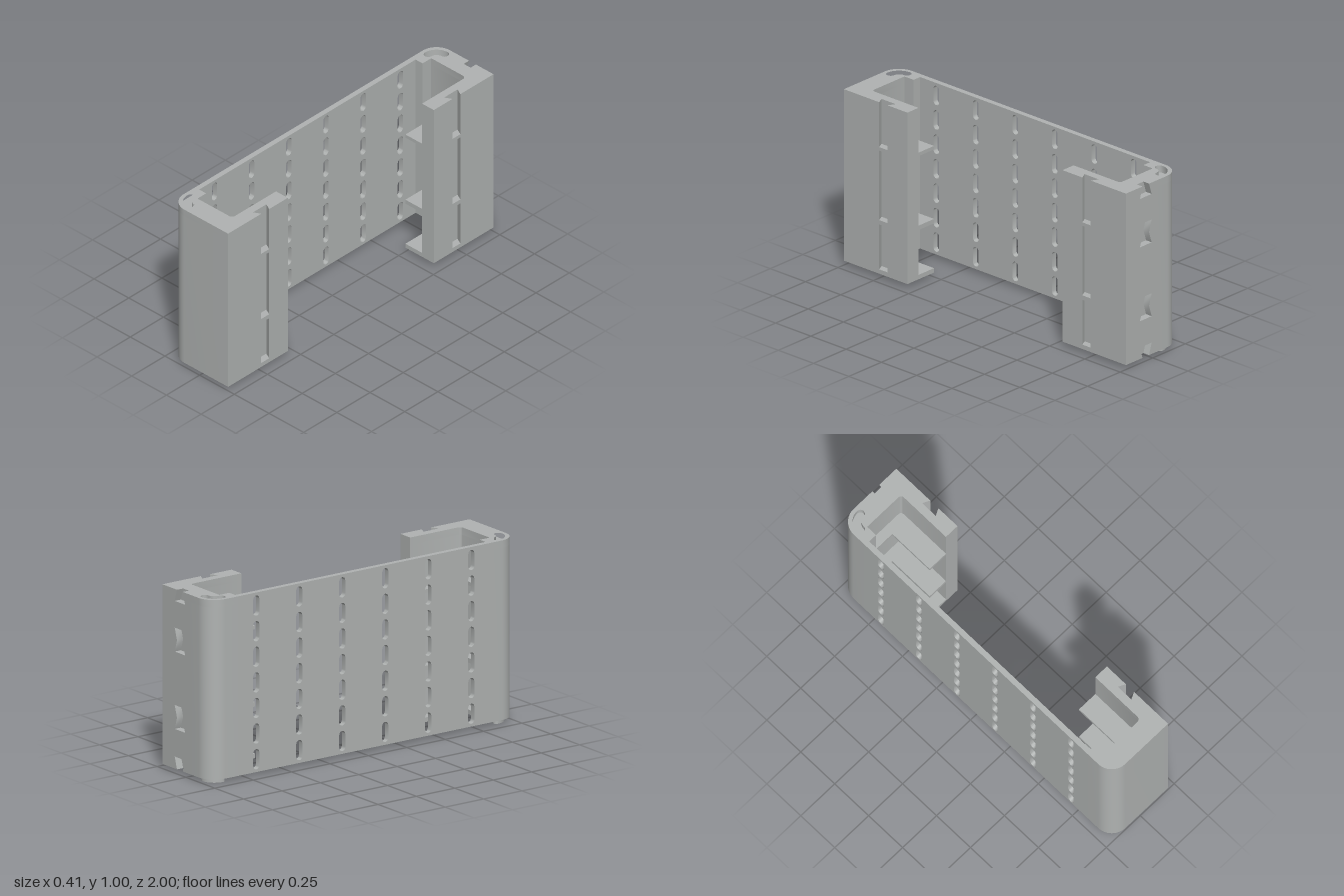
import * as THREE from 'three';
import { toCreasedNormals } from 'three/addons/utils/BufferGeometryUtils.js';

const BASE = 0.025, TOP = 1, RECESS = 0.04;
const BANDS = [[BASE, 0.05], [0.305, 0.33], [0.725, 0.745]]; // shelf heights
const grey = new THREE.MeshStandardMaterial({ color: 0xb0b3b2 });
grey.name = 'grey';

// points along an arc
function arc(cx, cy, r, a0, a1, n = 12) {
  return Array.from({ length: n + 1 }, (_, i) => {
    const a = a0 + (a1 - a0) * i / n;
    return [cx + r * Math.cos(a), cy + r * Math.sin(a)];
  });
}
const vectors = (pts, s = 1) => pts.map(([x, y]) => new THREE.Vector2(x, y * s));
const outline = (pts, s = 1) => new THREE.Shape(vectors(pts, s));

function extrude(shape, depth) {
  return new THREE.ExtrudeGeometry(shape, { depth, bevelEnabled: false, curveSegments: 8 });
}
function add(parent, name, geometry) {
  const mesh = new THREE.Mesh(toCreasedNormals(geometry, 0.6), grey);
  mesh.name = name;
  parent.add(mesh);
}
// plan outline raised from y0 to y1 (outline y becomes -z)
const raise = (shape, y0, y1) => extrude(shape, y1 - y0).rotateX(-Math.PI / 2).translate(0, y0, 0);

// curved bean outline hugging the rounded corner
function bean(hw) {
  const cx = -0.105, cy = 0.895, r = 0.06, P = Math.PI;
  return [
    ...arc(cx, cy, r + hw, P / 2, P, 12),
    ...arc(cx - r, cy, hw, P, 2 * P, 8).slice(1),
    ...arc(cx, cy, r - hw, P, P / 2, 12).slice(1),
    ...arc(cx, cy + r, hw, -P / 2, P / 2, 8).slice(1, -1),
  ];
}

// thin back panel with a grid of upright slots
function backPanel(parent) {
  const half = 0.815;
  const shape = outline([[-half, BASE], [half, BASE], [half, TOP], [-half, TOP]]);
  for (let c = 0; c < 6; c++) {
    for (let r = 0; r < 7; r++) {
      const z = (c - 2.5) * 0.28, y = 0.095 + r * 0.139, w = 0.02, h = 0.035;
      shape.holes.push(new THREE.Path(vectors([
        ...arc(z, y + h, w, 0, Math.PI, 8), ...arc(z, y - h, w, Math.PI, 2 * Math.PI, 8),
      ])));
    }
  }
  add(parent, 'backPanel', extrude(shape, 0.03).rotateY(-Math.PI / 2).translate(-0.18, 0, 0));
}

const DOVETAIL = [[0.205, 0.69], [0.165, 0.67], [0.165, 0.77], [0.205, 0.75]];

// side channel: rounded corner, end wall and grooved flange; s = 1 is the -z end
function channel(parent, s) {
  const group = new THREE.Group();
  group.name = s > 0 ? 'rearChannel' : 'frontChannel';
  parent.add(group);
  const notch = s > 0 ? [[0.12, 1], [0.12, 0.96], [-0.01, 0.96], [-0.01, 1]] : [];
  const plan = [
    [-0.21, 0.815], [-0.13, 0.815], [-0.13, 0.88],
    ...arc(0.1, 0.86, 0.02, Math.PI / 2, 0, 5),
    [0.12, 0.55], [0.205, 0.55], ...DOVETAIL, [0.205, 1], ...notch,
    ...arc(-0.11, 0.9, 0.1, Math.PI / 2, Math.PI, 14),
  ];
  add(group, 'channelBody', raise(outline(plan, s), BASE, TOP - RECESS));
  const rim = outline(plan, s);
  rim.holes.push(new THREE.Path(vectors(bean(0.024), s)));
  add(group, 'channelRim', raise(rim, TOP - RECESS, TOP));

  // shelves and the bridges that interrupt the groove
  const shelf = [[0, 0.55], [0.13, 0.55], [0.13, 0.89], [-0.14, 0.89], [-0.14, 0.825], [0, 0.825]];
  for (const [y0, y1] of BANDS) {
    add(group, 'shelf', raise(outline(shelf, s), y0, y1));
    add(group, 'grooveBridge', raise(outline(DOVETAIL, s), y0, y1));
  }
  add(group, 'foot', raise(outline(bean(0.019), s), 0, BASE + 0.005));
}

// outer strip of the rear end wall with hourglass pockets
function pocketStrip(parent) {
  const cx = 0.053, waist = 0.025, wide = 0.045, h = 0.065;
  const shape = outline([
    [-0.01, BASE], [cx - waist, BASE], [cx - wide, BASE + h], [cx + wide, BASE + h], [cx + waist, BASE],
    [0.12, BASE], [0.12, TOP],
    [cx + waist, TOP], [cx + wide, TOP - h], [cx - wide, TOP - h], [cx - waist, TOP], [-0.01, TOP],
  ]);
  for (const y of [0.305, 0.725]) {
    shape.holes.push(new THREE.Path(vectors([
      [cx - wide, y - h], [cx + wide, y - h], [cx + waist, y],
      [cx + wide, y + h], [cx - wide, y + h], [cx - waist, y],
    ])));
  }
  add(parent, 'pocketStrip', extrude(shape, 0.04).translate(0, 0, -1));
}

export function createModel() {
  const model = new THREE.Group();
  model.name = 'slottedBracket';
  backPanel(model);
  for (const s of [1, -1]) channel(model, s);
  pocketStrip(model);
  return model;
}
